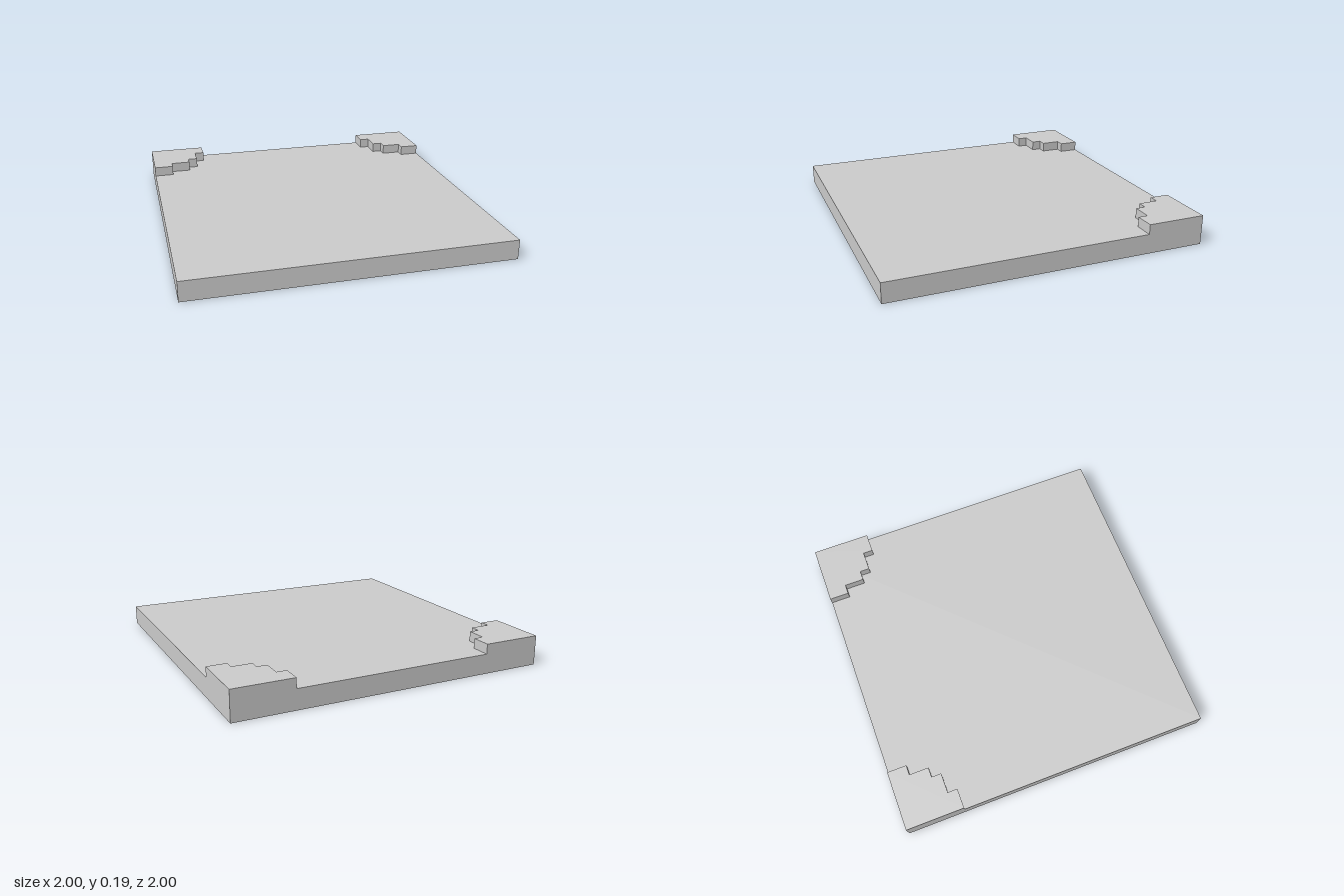
import * as THREE from 'three';

const SLAB_HEIGHT = 0.125;
const STEP_HEIGHT = 0.0625;

// Stepped outline of a raised back corner, as [x, distance behind centre]
const CORNER = [
  [1, 1], [0.625, 1], [0.625, 0.875], [0.6875, 0.875], [0.6875, 0.75],
  [0.75, 0.75], [0.75, 0.6875], [0.875, 0.6875], [0.875, 0.625], [1, 0.625],
];

export function createModel() {
  const model = new THREE.Group();
  model.name = 'steppedCornerTile';
  const material = new THREE.MeshStandardMaterial({ color: 0xcccccc, flatShading: true });

  // Square base slab
  const slab = new THREE.Mesh(new THREE.BoxGeometry(2, SLAB_HEIGHT, 2), material);
  slab.name = 'baseSlab';
  slab.position.y = SLAB_HEIGHT / 2;
  model.add(slab);

  // Mirrored raised corners along the back edge
  for (const [name, side] of [['leftCorner', 1], ['rightCorner', -1]]) {
    const outline = new THREE.Shape(CORNER.map(([x, y]) => new THREE.Vector2(side * x, y)));
    const geometry = new THREE.ExtrudeGeometry(outline, { depth: STEP_HEIGHT, bevelEnabled: false });
    geometry.rotateX(-Math.PI / 2);
    const corner = new THREE.Mesh(geometry, material);
    corner.name = name;
    corner.position.y = SLAB_HEIGHT;
    model.add(corner);
  }

  return model;
}
